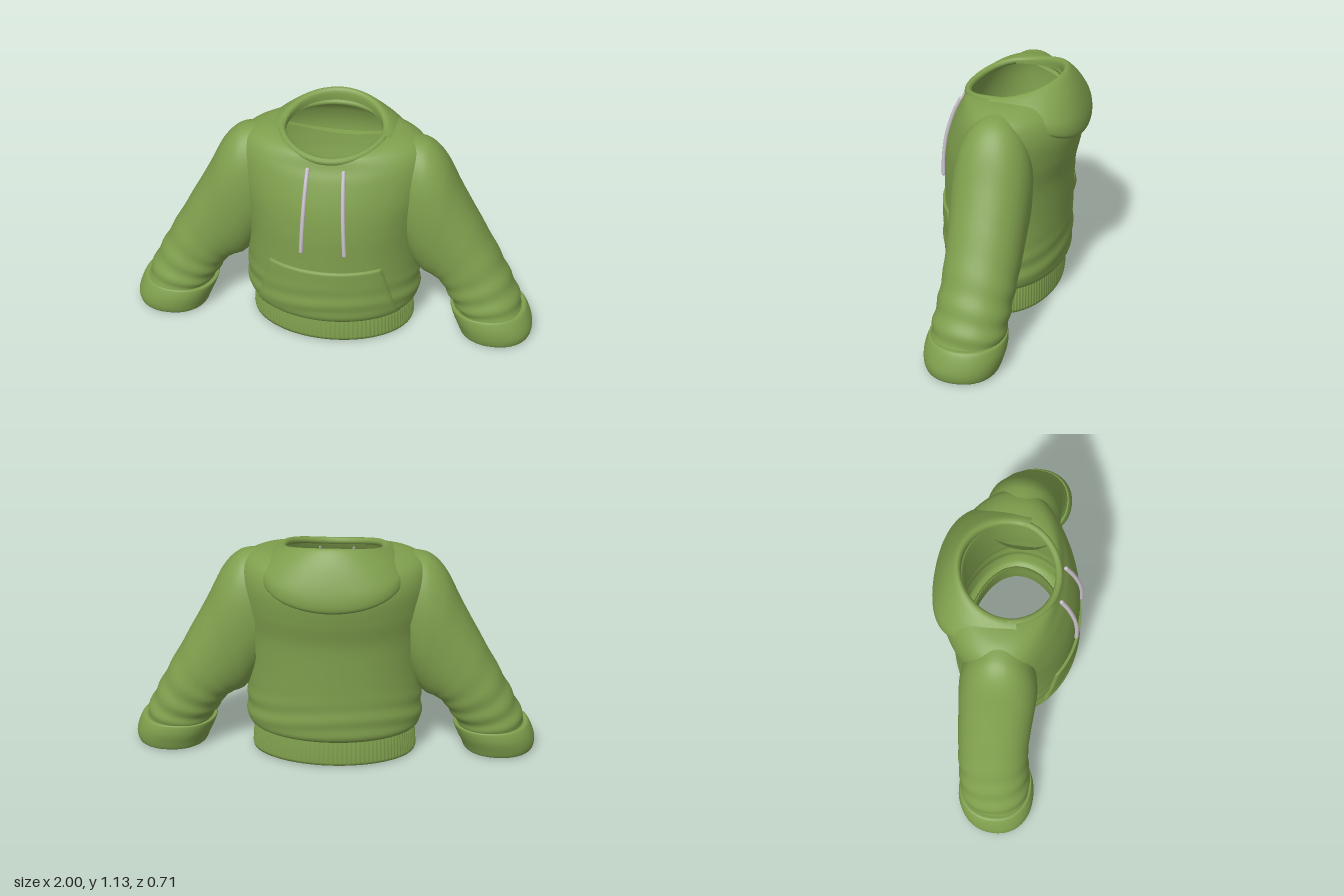
import * as THREE from 'three';

const green = new THREE.MeshStandardMaterial({ color: 0x7f9f4d, side: THREE.DoubleSide });
green.name = 'green fabric';
const cordGrey = new THREE.MeshStandardMaterial({ color: 0xcbc2cc });
cordGrey.name = 'pale cord';

const mix = THREE.MathUtils.lerp;
const bell = (x, c, w) => Math.exp(-(((x - c) / w) ** 2));

// Smooth interpolation through rows of numbers, t in row units
function spline(rows, t) {
  const n = rows.length - 1, i = Math.min(Math.floor(t), n - 1), f = t - i;
  const [a, b, c, d] = [i - 1, i, i + 1, i + 2].map(k => rows[THREE.MathUtils.clamp(k, 0, n)]);
  return b.map((_, k) => 0.5 * (2 * b[k] + (c[k] - a[k]) * f + (2 * a[k] - 5 * b[k] + 4 * c[k] - d[k]) * f * f
    + (3 * b[k] - a[k] - 3 * c[k] + d[k]) * f * f * f));
}

// Grid surface from f(u, v) with u, v in 0..1; wrap closes it along v
function surface(nu, nv, f, wrap = false, flip = false) {
  const pos = [], idx = [], cols = wrap ? nv : nv + 1;
  for (let i = 0; i <= nu; i++)
    for (let j = 0; j < cols; j++) pos.push(...f(i / nu, j / nv));
  for (let i = 0; i < nu; i++)
    for (let j = 0; j < nv; j++) {
      const k = (j + 1) % cols, a = i * cols + j, b = a + cols, c = i * cols + k, d = c + cols;
      if (flip) idx.push(a, c, b, b, c, d);
      else idx.push(a, b, c, b, d, c);
    }
  const g = new THREE.BufferGeometry();
  g.setAttribute('position', new THREE.Float32BufferAttribute(pos, 3));
  g.setIndex(idx);
  g.computeVertexNormals();
  return g;
}

// Torso rings: half width, front z, back z, then y at side, front and back
const torso = [
  [0.39, 0.275, -0.235, 0.13, 0.13, 0.13],
  [0.42, 0.312, -0.265, 0.155, 0.155, 0.155],
  [0.43, 0.333, -0.275, 0.21, 0.21, 0.21],
  [0.425, 0.335, -0.275, 0.35, 0.35, 0.35],
  [0.42, 0.335, -0.278, 0.5, 0.5, 0.5],
  [0.43, 0.332, -0.285, 0.65, 0.65, 0.65],
  [0.45, 0.312, -0.31, 0.79, 0.78, 0.77],
  [0.455, 0.272, -0.322, 0.92, 0.9, 0.88],
  [0.43, 0.242, -0.3, 1.0, 0.96, 0.97],
  [0.36, 0.228, -0.26, 1.042, 0.995, 1.03],
  [0.27, 0.222, -0.24, 1.055, 1.008, 1.06],
  [0.23, 0.212, -0.222, 1.045, 1.0, 1.06],
];

function torsoPoint(t, a) {
  const [rx, zf, zb, ys, yf, yb] = spline(torso, t), s = Math.sin(a), c = Math.cos(a);
  const y = mix(ys, s > 0 ? yf : yb, s * s);
  // Soft folds above the hem
  const fold = 1 + 0.011 * Math.sin(y * 60 + 2 * Math.cos(2 * a + 0.6)) * bell(y, 0.25, 0.09);
  return [rx * c * fold, y, (s > 0 ? zf : -zb) * s * fold];
}

// Height of the torso front at x, y
function frontZ(x, y) {
  let lo = 0, hi = 10, p;
  for (let i = 0; i < 24; i++) {
    const t = (lo + hi) / 2;
    p = torsoPoint(t, Math.acos(x / spline(torso, t)[0]));
    if (p[1] < y) lo = t; else hi = t;
  }
  return p[2];
}

// Sleeve rings: outer x, y, inner x, y, front z, back z
const sleeve = [
  [0.36, 1.04, 0.37, 0.42, 0.17, -0.17],
  [0.45, 1.02, 0.41, 0.355, 0.185, -0.18],
  [0.53, 0.94, 0.44, 0.32, 0.185, -0.178],
  [0.61, 0.785, 0.46, 0.31, 0.18, -0.174],
  [0.70, 0.62, 0.485, 0.303, 0.175, -0.17],
  [0.80, 0.44, 0.525, 0.275, 0.175, -0.162],
  [0.87, 0.31, 0.565, 0.215, 0.185, -0.152],
  [0.925, 0.20, 0.605, 0.155, 0.197, -0.142],
  [0.945, 0.12, 0.63, 0.11, 0.2, -0.13],
];
const cuff = [
  [0.935, 0.15, 0.62, 0.14, 0.195, -0.13],
  [0.96, 0.148, 0.59, 0.142, 0.208, -0.145],
  [0.985, 0.10, 0.605, 0.095, 0.222, -0.148],
  [0.998, 0.05, 0.63, 0.04, 0.222, -0.135],
  [0.99, 0.008, 0.645, 0.006, 0.21, -0.12],
  [0.965, 0.006, 0.665, 0.005, 0.19, -0.1],
  [0.95, 0.05, 0.65, 0.05, 0.19, -0.105],
  [0.92, 0.13, 0.64, 0.12, 0.18, -0.115],
];

function sleeveSurface(rows, side, folds) {
  const n = rows.length - 1;
  return surface(n * 10, 56, (u, v) => {
    const [ox, oy, ix, iy, zf, zb] = spline(rows, u * n), a = v * Math.PI * 2;
    // Slightly squared section
    const c = Math.sign(Math.cos(a)) * Math.abs(Math.cos(a)) ** 0.92;
    const s = Math.sign(Math.sin(a)) * Math.abs(Math.sin(a)) ** 0.92;
    const k = 1 + folds * Math.sin(u * 52 + 1.6 * Math.sin(a + 0.5)) * THREE.MathUtils.smoothstep(u, 0.4, 0.85);
    return [side * ((ox + ix) / 2 + (ox - ix) / 2 * c * k), (oy + iy) / 2 + (oy - iy) / 2 * c * k,
      (zf + zb) / 2 + (zf - zb) / 2 * s * k];
  }, true, side > 0);
}

// Hood profile (radius, y) at the middle of the back and where it meets the collar
const hoodBack = [[0.223, 1.05], [0.224, 1.112], [0.25, 1.125], [0.3, 1.055], [0.343, 0.955], [0.356, 0.885], [0.342, 0.85], [0.29, 0.84]];
const hoodEnd = [[0.225, 1.035], [0.228, 1.055], [0.245, 1.062], [0.26, 1.06], [0.275, 1.053], [0.285, 1.048], [0.29, 1.042], [0.28, 1.03]];

function hoodPoint(u, v) {
  const phi = (u * 2 - 1) * 1.8, w = Math.cos(phi * Math.PI / 3.6) ** 1.6, t = v * 7;
  const [rb, yb] = spline(hoodBack, t), [re, ye] = spline(hoodEnd, t);
  const outer = THREE.MathUtils.smoothstep(t, 1.5, 4.5);
  const r = mix(re, rb, w) + 0.028 * outer * Math.sin(2 * phi) ** 2 * (Math.abs(phi) < 1.57 ? 1 : 0);
  return [r * Math.sin(phi) * (1 + 0.2 * outer * Math.cos(phi / 1.8 * 1.57)), mix(ye, yb, w), -r * Math.cos(phi)];
}

export function createModel() {
  const model = new THREE.Group();
  const add = (name, geometry, material = green) => {
    const m = new THREE.Mesh(geometry, material);
    m.name = name;
    model.add(m);
  };

  add('torso', surface(110, 96, (u, v) => torsoPoint(u * 11, v * Math.PI * 2), true));

  // Ribbed waistband, with its inner face
  const band = [[0.375, 0.26, -0.22, 0.13], [0.388, 0.27, -0.228, 0.006], [0.403, 0.283, -0.239, 0.006], [0.404, 0.284, -0.24, 0.02], [0.396, 0.281, -0.238, 0.132], [0.38, 0.265, -0.225, 0.14]];
  add('waistband', surface(5, 560, (u, v) => {
    const [rx, zf, zb, y] = band[Math.round(u * 5)], a = v * Math.PI * 2, s = Math.sin(a);
    const k = 1 + (u > 0.5 && u < 0.9 ? 0.006 * Math.cos(a * 112) : 0);
    return [rx * Math.cos(a) * k, y, (s > 0 ? zf : -zb) * s * k];
  }, true));

  for (const side of [1, -1]) {
    const label = side > 0 ? 'left' : 'right';
    add(label + 'Sleeve', sleeveSurface(sleeve, side, 0.022));
    add(label + 'Cuff', sleeveSurface(cuff, side, 0));

    // Drawstring lying on the chest
    const path = [0.962, 0.9, 0.84, 0.77, 0.7, 0.63, 0.565].map(y => {
      const x = side * mix(0.102, 0.083, (y - 0.565) / 0.4);
      return new THREE.Vector3(x, y, frontZ(x, y) + 0.008);
    });
    add(label + 'Drawstring', new THREE.TubeGeometry(new THREE.CatmullRomCurve3(path), 30, 0.01, 8), cordGrey);
    for (const [i, p] of [path[0], path[6]].entries()) {
      const tip = new THREE.SphereGeometry(0.0105, 8, 6);
      tip.translate(p.x, p.y, p.z);
      add(label + (i ? 'CordEnd' : 'CordTop'), tip, cordGrey);
    }
  }

  // Front pocket, raised from the torso with its border tucked in
  add('pocket', surface(26, 44, (u, v) => {
    const edge = u === 0 || u === 1 || v === 0 || v === 1;
    const y = mix(0.142, 0.456, THREE.MathUtils.clamp((u * 26 - 1) / 24, 0, 1));
    const h = (y - 0.142) / 0.314, half = mix(0.352, 0.268, h);
    const x = half * THREE.MathUtils.clamp((v * 44 - 1) / 42, 0, 1) * -2 + half;
    return [x, y, frontZ(x, y) + (edge ? -0.006 : 0.013)];
  }));

  // Collar edge
  const rim = [];
  for (let i = 0; i < 32; i++) {
    const a = i / 32 * Math.PI * 2, s = Math.sin(a);
    rim.push(new THREE.Vector3(0.244 * Math.cos(a), mix(1.049, s > 0 ? 1.0 : 1.055, s * s), 0.226 * s - 0.005));
  }
  add('collar', new THREE.TubeGeometry(new THREE.CatmullRomCurve3(rim, true), 96, 0.017, 10, true));

  add('hood', surface(72, 48, hoodPoint));
  return model;
}
